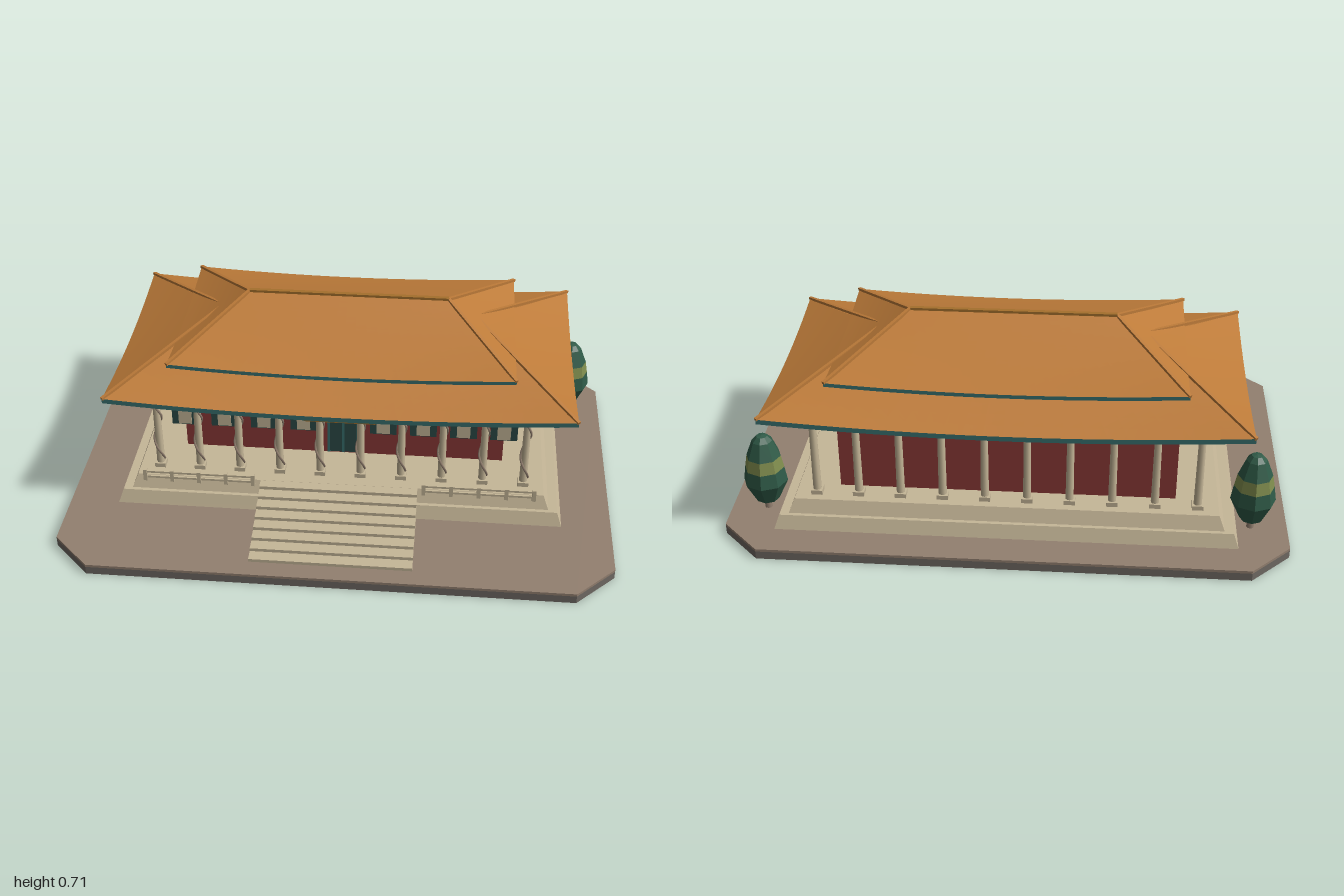
import * as THREE from 'three';

const mat = (name, color, side = THREE.FrontSide) => {
  const m = new THREE.MeshStandardMaterial({ color, side });
  m.name = name;
  return m;
};

export function createModel() {
  const M = {
    gray: mat('slab gray', 0x6f6963),
    brown: mat('paving brown', 0x938070),
    stone: mat('pale stone', 0xc6b798),
    red: mat('wall red', 0x8a3936),
    teal: mat('beam teal', 0x38706f, THREE.DoubleSide),
    darkTeal: mat('frame dark teal', 0x2c4a46),
    roof: mat('roof tile orange', 0xbd7b39, THREE.DoubleSide),
    gold: mat('ridge gold', 0xa5702c),
    green: mat('leaf green', 0x2f5a47),
    olive: mat('leaf olive', 0x808d4e),
  };
  for (const k of ['green', 'olive', 'gray']) M[k].flatShading = true;
  const model = new THREE.Group();
  model.name = 'templeHall';
  const ZC = -0.125; // centre line of the hall

  const add = (name, geo, m, x = 0, y = 0, z = 0, parent = model) => {
    const mesh = new THREE.Mesh(geo, m);
    mesh.name = name;
    mesh.position.set(x, y, z);
    parent.add(mesh);
    return mesh;
  };
  // box given by its min and max on every axis
  const box = (name, m, x0, x1, y0, y1, z0, z1, parent) =>
    add(name, new THREE.BoxGeometry(x1 - x0, y1 - y0, z1 - z0), m,
      (x0 + x1) / 2, (y0 + y1) / 2, (z0 + z1) / 2, parent);

  // ground slab with cut corners
  const outline = new THREE.Shape([[-1, -0.56], [-0.86, -0.7], [0.86, -0.7], [1, -0.56],
    [1, 0.56], [0.86, 0.7], [-0.86, 0.7], [-1, 0.56]].map(p => new THREE.Vector2(...p)));
  const slab = depth => new THREE.ExtrudeGeometry(outline, { depth, bevelEnabled: false }).rotateX(-Math.PI / 2);
  add('groundSlab', slab(0.03), M.gray);
  add('paving', slab(0.01), M.brown, 0, 0.03, 0);

  // two terraces with leaning sides
  const terrace = (name, y, hx, hz, inset) => {
    const g = new THREE.BoxGeometry(2 * hx, 0.05, 2 * hz);
    const p = g.attributes.position;
    for (let i = 0; i < p.count; i++) {
      if (p.getY(i) > 0) p.setXYZ(i, p.getX(i) * (1 - inset / hx), p.getY(i), p.getZ(i) * (1 - inset / hz));
    }
    g.computeVertexNormals();
    add(name, g, M.stone, 0, y + 0.025, -0.118);
  };
  terrace('lowerTerrace', 0.04, 0.82, 0.46, 0.018);
  terrace('upperTerrace', 0.09, 0.77, 0.428, 0.02);

  // front staircase
  const steps = new THREE.Shape();
  steps.moveTo(0.24, 0.04);
  steps.lineTo(0.632, 0.04);
  for (let i = 0; i < 8; i++) {
    const y = 0.052 + i * 0.0125;
    steps.lineTo(0.632 - i * 0.0435, y);
    steps.lineTo(0.632 - (i + 1) * 0.0435, y);
  }
  steps.lineTo(0.24, 0.1395);
  const stairGeo = new THREE.ExtrudeGeometry(steps, { depth: 0.58, bevelEnabled: false });
  add('frontSteps', stairGeo.rotateY(-Math.PI / 2), M.stone, 0.29);

  // hall body
  box('hallWalls', M.red, -0.6, 0.6, 0.14, 0.48, -0.43, 0.09);

  // lattice windows in every bay, with the door in the middle one
  for (let i = -4; i <= 4; i++) {
    if (i === 0) continue;
    const x = i * 0.15;
    box('windowFrame', M.darkTeal, x - 0.05, x + 0.05, 0.24, 0.39, 0.085, 0.1);
    box('windowPanel', M.stone, x - 0.025, x + 0.025, 0.245, 0.385, 0.1, 0.104);
  }
  box('doorLeaf', M.darkTeal, -0.055, 0.055, 0.15, 0.4, 0.088, 0.1);
  for (const x of [-0.055, 0, 0.055]) box('doorFrame', M.teal, x - 0.005, x + 0.005, 0.15, 0.4, 0.098, 0.105);

  // plaque over the door
  box('plaqueFrame', M.gold, -0.13, 0.13, 0.39, 0.435, 0.243, 0.252);
  box('plaquePanel', M.darkTeal, -0.118, 0.118, 0.4, 0.426, 0.252, 0.256);

  // columns; the front row has a carved spiral
  const spiral = new THREE.CatmullRomCurve3(Array.from({ length: 17 }, (_, i) => {
    const a = i / 16 * Math.PI * 2.5;
    return new THREE.Vector3(Math.cos(a) * 0.016, 0.17 + i / 16 * 0.24, Math.sin(a) * 0.016);
  }));
  const spiralGeo = new THREE.TubeGeometry(spiral, 32, 0.0045, 5);
  const shaftGeo = new THREE.CylinderGeometry(0.013, 0.015, 0.3, 10);
  const makeColumn = (x, z, carved) => {
    const c = new THREE.Group();
    c.name = carved ? 'frontColumn' : 'backColumn';
    c.position.set(x, 0, z);
    add('columnShaft', shaftGeo, M.stone, 0, 0.3, 0, c);
    box('columnBase', M.stone, -0.02, 0.02, 0.14, 0.157, -0.02, 0.02, c);
    box('columnCapital', M.stone, -0.02, 0.02, 0.435, 0.452, -0.02, 0.02, c);
    if (carved) add('columnSpiral', spiralGeo, M.brown, 0, 0, 0, c);
    model.add(c);
  };
  for (let i = 0; i < 10; i++) {
    makeColumn(-0.675 + i * 0.15, 0.225, true);
    makeColumn(-0.675 + i * 0.15, -0.478, false);
  }

  // beams resting on the columns and under the upper eaves
  for (const z of [0.225, -0.478]) box('longBeam', M.teal, -0.7, 0.7, 0.44, 0.465, z - 0.014, z + 0.014);
  for (const x of [-0.675, 0.675]) box('sideBeam', M.teal, x - 0.014, x + 0.014, 0.44, 0.465, -0.478, 0.225);
  for (const s of [-1, 1]) {
    const z = ZC + s * 0.28;
    box('upperBeam', M.teal, -0.51, 0.51, 0.53, 0.565, z - 0.012, z + 0.012);
  }

  // balustrades either side of the steps
  for (const s of [-1, 1]) {
    const rail = new THREE.Group();
    rail.name = 'balustrade';
    for (const y of [0.158, 0.18]) box('rail', M.stone, -0.205, 0.205, y - 0.004, y + 0.004, -0.004, 0.004, rail);
    for (let i = 0; i < 5; i++) {
      const x = -0.2 + i * 0.1;
      box('railPost', M.stone, x - 0.007, x + 0.007, 0.142, 0.189, -0.007, 0.007, rail);
    }
    rail.position.set(s * 0.513, 0, 0.325);
    model.add(rail);
  }

  // hipped roof: eaves lift to the corners and the slopes sag under straight ridge bars
  const makeRoof = (name, ex, ez, rx, cornerY, ridgeY, lift, sag, fasciaH) => {
    const g = new THREE.Group();
    g.name = name;
    const NU = 24, NT = 10;
    const corners = [[-1, 1], [1, 1], [1, -1], [-1, -1]];
    const corner = (k, t) => {
      const [sx, sz] = corners[k % 4];
      return [sx * (ex + (rx - ex) * t), sz * ez * (1 - t)];
    };
    const point = (k, u, t) => {
      const a = corner(k, t), b = corner(k + 1, t), w = 2 * u - 1;
      const y = cornerY + (ridgeY - cornerY) * t - sag * 4 * t * (1 - t) - lift * (1 - w * w) * (1 - t) ** 2;
      return [a[0] + (b[0] - a[0]) * u, y, a[1] + (b[1] - a[1]) * u];
    };
    const sheet = (nu, nt, f) => {
      const pos = [], idx = [];
      for (let j = 0; j <= nt; j++) for (let i = 0; i <= nu; i++) pos.push(...f(i / nu, j / nt));
      for (let j = 0; j < nt; j++) for (let i = 0; i < nu; i++) {
        const a = j * (nu + 1) + i, c = a + nu + 1;
        idx.push(a, a + 1, c, a + 1, c + 1, c);
      }
      const geo = new THREE.BufferGeometry();
      geo.setAttribute('position', new THREE.Float32BufferAttribute(pos, 3));
      geo.setIndex(idx);
      geo.computeVertexNormals();
      return geo;
    };
    for (let k = 0; k < 4; k++) {
      add('roofSlope', sheet(NU, NT, (u, t) => point(k, u, t)), M.roof, 0, 0, 0, g);
      add('eaveFascia', sheet(NU, 1, (u, v) => {
        const p = point(k, u, 0);
        return [p[0], p[1] - fasciaH * (1 - v), p[2]];
      }), M.teal, 0, 0, 0, g);
      // straight hip bar
      const a = new THREE.Vector3(...point(k, 0, 0)), b = new THREE.Vector3(...point(k, 0, 1));
      const bar = add('hipBar', new THREE.BoxGeometry(0.012, 0.01, a.distanceTo(b)), M.roof, 0, 0, 0, g);
      bar.position.copy(a).lerp(b, 0.5);
      bar.lookAt(b);
    }
    box('ridgeBar', M.gold, -rx, rx, ridgeY - 0.006, ridgeY + 0.006, -0.008, 0.008, g);
    g.position.z = ZC;
    model.add(g);
  };
  makeRoof('lowerRoof', 0.842, 0.46, 0.47, 0.5, 0.64, 0.03, 0.012, 0.018);
  makeRoof('upperRoof', 0.622, 0.363, 0.37, 0.596, 0.706, 0.02, 0.01, 0.014);

  // clipped trees at both sides
  const lathe = pts => new THREE.LatheGeometry(pts.map(p => new THREE.Vector2(...p)), 8);
  for (const s of [-1, 1]) {
    const tree = new THREE.Group();
    tree.name = 'tree';
    add('trunk', new THREE.CylinderGeometry(0.011, 0.014, 0.05, 8), M.brown, 0, 0.062, 0, tree);
    add('lowerFoliage', lathe([[0, 0.075], [0.042, 0.08], [0.08, 0.16], [0.071, 0.215]]), M.green, 0, 0, 0, tree);
    add('foliageBand', lathe([[0.071, 0.215], [0.062, 0.262]]), M.olive, 0, 0, 0, tree);
    add('upperFoliage', lathe([[0.062, 0.262], [0.037, 0.325], [0.02, 0.343], [0, 0.347]]), M.green, 0, 0, 0, tree);
    tree.position.set(s * 0.87, 0, -0.44);
    model.add(tree);
  }
  return model;
}
